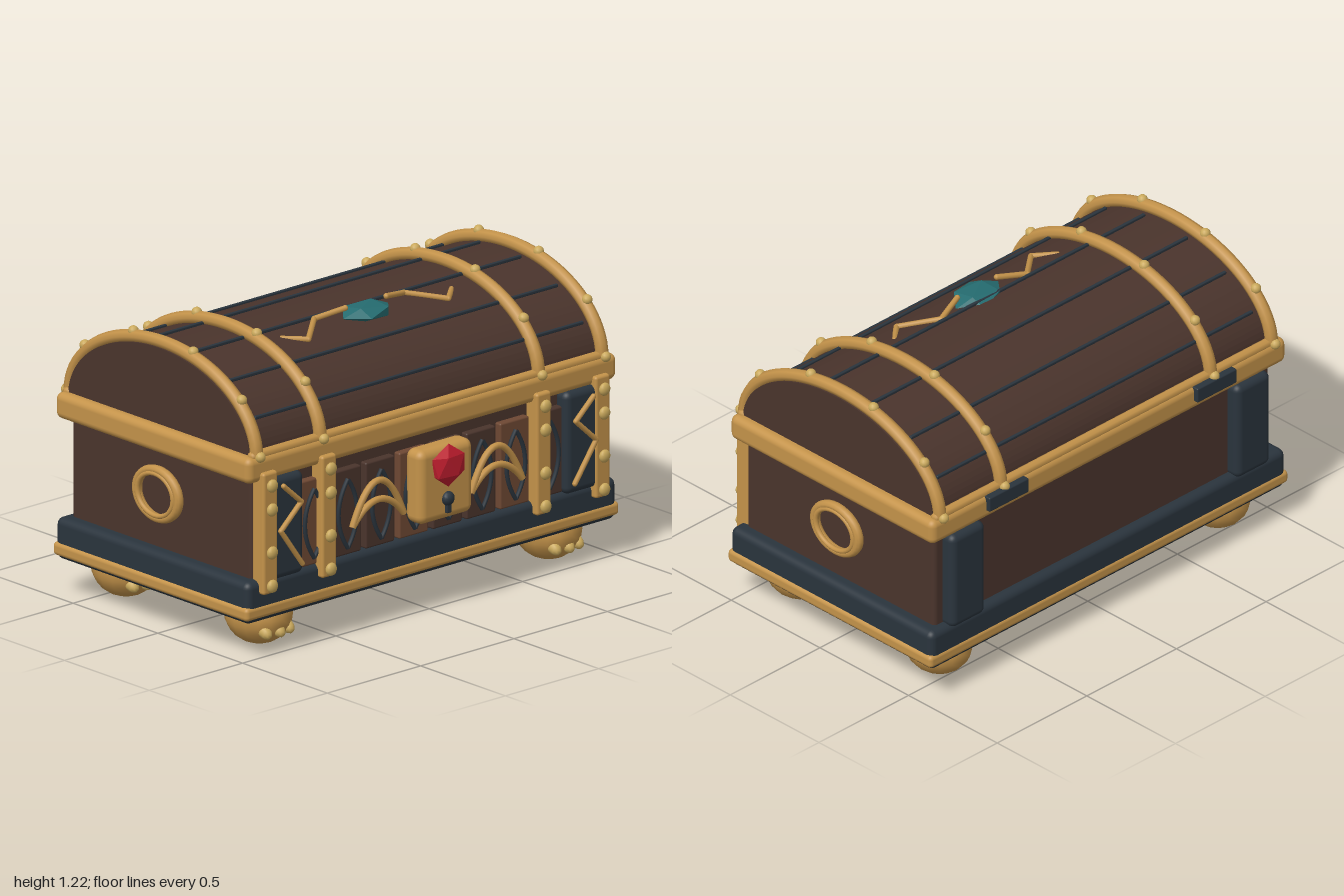
import * as THREE from 'three';
import { RoundedBoxGeometry } from 'three/addons/geometries/RoundedBoxGeometry.js';

const mat = (name, color, flatShading = false) => {
  const m = new THREE.MeshStandardMaterial({ color, flatShading });
  m.name = name;
  return m;
};

export function createModel() {
  const chest = new THREE.Group();
  chest.name = 'treasureChest';
  const wood = mat('dark wood', 0x4a342c);
  const plankWood = mat('light wood', 0x6e4833);
  const iron = mat('dark iron', 0x2a343d);
  const gold = mat('gold', 0xc4934a);
  const brass = mat('pale brass', 0xcaa95c);
  const red = mat('red gem', 0xc01d2e, true);
  const teal = mat('teal gem', 0x256c70, true);
  const ZC = -0.05; // middle of the chest in depth
  const SIDES = [-1, 1];

  const add = (name, geometry, material, x = 0, y = 0, z = 0) => {
    const mesh = new THREE.Mesh(geometry, material);
    mesh.name = name;
    mesh.position.set(x, y, z);
    chest.add(mesh);
    return mesh;
  };
  const block = (name, m, w, h, d, x, y, z, r = 0.02) =>
    add(name, new RoundedBoxGeometry(w, h, d, 3, r), m, x, y, z);
  const ball = (name, m, r, x, y, z, sx = 1, sy = 1, sz = 1, seg = 12) => {
    const b = add(name, new THREE.SphereGeometry(r, seg, Math.ceil(seg * 0.7)), m, x, y, z);
    b.scale.set(sx, sy, sz);
    return b;
  };
  const tube = (name, m, curve, r, seg = 24) =>
    add(name, new THREE.TubeGeometry(curve, seg, r, 8), m);
  // bent rod: straight pieces with a ball at each joint
  const rod = (name, m, pts, r) => {
    const v = pts.map((p) => new THREE.Vector3(...p));
    v.forEach((p, i) => {
      ball(name + 'Joint', m, r, p.x, p.y, p.z, 1, 1, 1, 8);
      if (i) tube(name, m, new THREE.LineCurve3(v[i - 1], p), r, 1);
    });
  };
  const arc = (x, a, rz, ry, y0) =>
    new THREE.Vector3(x, y0 + Math.sin(a) * ry, ZC + Math.cos(a) * rz);

  // Base, body and rim
  block('basePlinth', iron, 1.98, 0.175, 1.14, 0, 0.243, ZC, 0.03);
  block('baseTrim', gold, 2, 0.056, 1.15, 0, 0.2, ZC, 0.018);
  block('body', wood, 1.87, 0.5, 1.06, 0, 0.53, ZC, 0.02);
  block('rim', gold, 1.98, 0.11, 1.15, 0, 0.797, ZC, 0.03);

  // Domed lid
  const dome = new THREE.Shape();
  dome.absellipse(0, 0, 0.535, 0.335, 0, Math.PI, false);
  dome.closePath();
  const lidGeo = new THREE.ExtrudeGeometry(dome, { depth: 1.9, bevelEnabled: false, curveSegments: 24 });
  lidGeo.translate(0, 0, -0.95).rotateY(Math.PI / 2);
  add('lid', lidGeo, wood, 0, 0.835, ZC);
  for (const z of [0.495, -0.595])
    rod('lidRail', gold, [[-0.94, 0.85, z], [0.94, 0.85, z]], 0.022);
  // Seams between lid boards
  for (let i = 1; i < 7; i++) {
    const a = (i * Math.PI) / 7;
    const p = arc(0, a, 0.54, 0.34, 0.835);
    block('lidSeam', iron, 1.76, 0.014, 0.014, 0, p.y, p.z, 0.004);
  }
  // Lid bands with studs
  for (const x of [-0.925, -0.585, 0.585, 0.925]) {
    const pts = [];
    for (let i = 0; i <= 24; i++) pts.push(arc(x, (i * Math.PI) / 24, 0.55, 0.345, 0.845));
    tube('lidBand', gold, new THREE.CatmullRomCurve3(pts), 0.027, 48);
    for (let i = 0; i < 6; i++) {
      const p = arc(x, (i * Math.PI) / 5, 0.572, 0.36, 0.85);
      ball('lidStud', brass, 0.022, p.x, p.y, p.z);
    }
  }

  // Front planks with leaf-shaped outlines
  for (let i = 0; i < 8; i++) {
    const x = -0.63 + i * 0.18;
    block('frontPlank', i % 3 ? wood : plankWood, 0.155, 0.36, 0.04, x, 0.51, 0.49, 0.008);
    for (const s of SIDES)
      tube('leafOutline', iron, new THREE.QuadraticBezierCurve3(
        new THREE.Vector3(x, 0.36, 0.515),
        new THREE.Vector3(x + s * 0.1, 0.505, 0.515),
        new THREE.Vector3(x, 0.65, 0.515)), 0.009, 12);
  }

  for (const s of SIDES) {
    // Front straps with studs
    for (const x of [0.575, 0.89]) {
      block('frontStrap', gold, 0.078, 0.51, 0.07, s * x, 0.53, 0.512, 0.012);
      for (const y of [0.31, 0.45, 0.63, 0.73])
        ball('strapStud', brass, 0.027, s * x, y, 0.555, 1, 1, 0.6);
    }
    // Corner plates, front and back
    block('frontCornerPlate', iron, 0.19, 0.43, 0.08, s * 0.795, 0.535, 0.5, 0.03);
    block('backCornerPlate', iron, 0.19, 0.43, 0.1, s * 0.795, 0.53, -0.588, 0.03);
    rod('cornerZigzag', gold,
      [[0.83, 0.715], [0.735, 0.63], [0.845, 0.53], [0.73, 0.37]].map(([x, y]) => [s * x, y, 0.555]), 0.011);
    // Arched front ornament
    for (const peak of [0.79, 0.63])
      tube('frontArch', gold, new THREE.QuadraticBezierCurve3(
        new THREE.Vector3(s * 0.455, 0.455, 0.548),
        new THREE.Vector3(s * 0.315, peak, 0.548),
        new THREE.Vector3(s * 0.18, 0.455, 0.548)), 0.014);
    // Lid ornament
    rod('lidZigzag', gold, [[s * 0.455, 1.142, 0.13], [s * 0.375, 1.138, 0.2],
      [s * 0.24, 1.165, 0.085], [s * 0.11, 1.19, 0.125]], 0.012);
    // Side ring handle
    for (const [r, t, x] of [[0.122, 0.021, 0.955], [0.106, 0.012, 0.968]]) {
      const ring = add('sideRing', new THREE.TorusGeometry(r, t, 10, 32), gold, s * x, 0.56, ZC);
      ring.rotation.y = Math.PI / 2;
      ring.scale.y = 0.83;
    }
    // Back hinge
    block('hinge', iron, 0.22, 0.065, 0.035, s * 0.58, 0.815, -0.627, 0.006);
    // Feet with toes
    for (const z of [0.345, -0.44]) {
      ball('foot', gold, 0.135, s * 0.775, 0.125, z, 0.98, 0.93, 1.07, 16);
      for (const dx of [-0.06, 0, 0.06]) {
        const toe = ball('toe', brass, 0.026, s * 0.775 + dx, 0.08, z + 0.115 - Math.abs(dx) * 0.2, 1, 1, 1.5);
        toe.rotation.x = 0.5;
      }
    }
  }

  // Lock plate and keyhole
  block('lockPlate', gold, 0.29, 0.31, 0.1, 0, 0.555, 0.558, 0.035);
  ball('keyholeTop', iron, 0.03, 0, 0.49, 0.61, 1, 1, 0.8);
  block('keyholeSlot', iron, 0.026, 0.07, 0.03, 0, 0.465, 0.605, 0.005);

  // Gems: icosahedra standing on a corner, then flattened
  const gem = (rx, ry, rz) =>
    new THREE.IcosahedronGeometry(1, 0).rotateZ(Math.atan(2 / (1 + Math.sqrt(5)))).scale(rx, ry, rz);
  add('lockGem', gem(0.095, 0.09, 0.035), red, 0, 0.63, 0.614);
  const lidGem = add('lidGem', gem(0.095, 0.135, 0.036).rotateZ(Math.PI / 2).rotateX(-Math.PI / 2), teal, 0, 1.153, 0.125);
  lidGem.rotation.y = 0.12;

  return chest;
}
